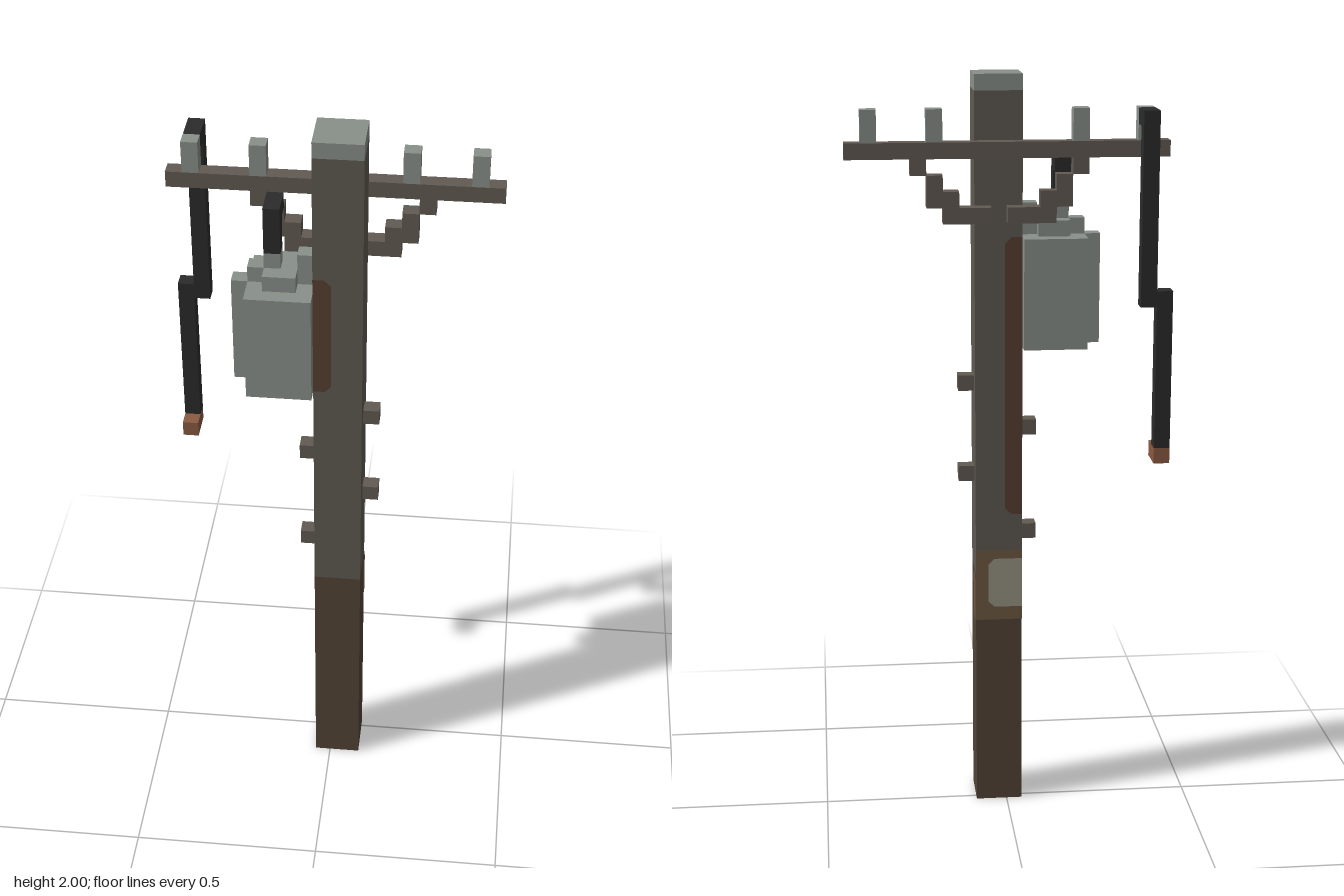
import * as THREE from 'three';

const U = 1 / 24; // edge of one building block

const paint = (name, color) => {
  const m = new THREE.MeshStandardMaterial({ color });
  m.name = name;
  return m;
};

export function createModel() {
  const root = new THREE.Group();
  root.name = 'utilityPole';

  const wood = paint('weatheredWood', 0x5f5a52);
  const damp = paint('dampWood', 0x524436);
  const timber = paint('timber', 0x625a52);
  const metal = paint('greyMetal', 0x89908a);
  const cable = paint('blackCable', 0x2b2b2b);
  const copper = paint('copper', 0x8b5a43);
  const rust = paint('rustStain', 0x573f31);
  const tan = paint('bareWood', 0x6f5a43);
  const pale = paint('paleNotice', 0x9a9585);

  // Box from block coordinates, given as [min, max] on each axis
  const box = (name, mat, [x0, x1], [y0, y1], [z0, z1], parent = root) => {
    const geo = new THREE.BoxGeometry((x1 - x0) * U, (y1 - y0) * U, (z1 - z0) * U);
    const mesh = new THREE.Mesh(geo, mat);
    mesh.name = name;
    mesh.position.set((x0 + x1) / 2 * U, (y0 + y1) / 2 * U, (z0 + z1) / 2 * U);
    parent.add(mesh);
    return mesh;
  };
  const group = (name) => {
    const g = new THREE.Group();
    g.name = name;
    root.add(g);
    return g;
  };

  // Thin stain on a vertical face; cutA and cutB bevel the corners at u0 and u1
  const turn = { front: 0, left: Math.PI / 2, back: Math.PI, right: -Math.PI / 2 };
  const stain = (name, mat, face, at, [u0, u1], [y0, y1], cutA, cutB, lift = 0.002) => {
    const a = cutA, b = cutB;
    const pts = [
      [u0 + a, y0], [u1 - b, y0], [u1, y0 + b], [u1, y1 - b],
      [u1 - b, y1], [u0 + a, y1], [u0, y1 - a], [u0, y0 + a],
    ].map(([u, y]) => new THREE.Vector2(u * U, y * U));
    const mesh = new THREE.Mesh(new THREE.ShapeGeometry(new THREE.Shape(pts)), mat);
    mesh.name = name;
    mesh.rotation.y = turn[face];
    const out = new THREE.Vector3(0, 0, at * U + lift).applyAxisAngle(new THREE.Vector3(0, 1, 0), turn[face]);
    mesh.position.copy(out);
    root.add(mesh);
  };

  // Pole
  const px = [-1, 2], pz = [-0.5, 2.5];
  box('poleBase', damp, px, [0, 16], pz);
  box('poleShaft', wood, px, [16, 47], pz);
  box('poleCap', metal, px, [47, 48], pz);

  // Crossarm and insulators
  const arm = [-1.5, -0.5];
  box('crossarm', timber, [-10, 10], [43, 44], arm);
  for (const x of [-9, -5, 4, 8]) box('insulator', metal, [x, x + 1], [44, 46], arm);

  // Stepped braces, mirrored about the pole's centre line
  const braces = group('braces');
  for (const [x0, x1, y] of [[1, 4, 39], [3, 5, 40], [4, 5, 41], [5, 6, 42]]) {
    box('braceStep', timber, [x0, x1], [y, y + 1], arm, braces);
    box('braceStep', timber, [1 - x1, 1 - x0], [y, y + 1], arm, braces);
  }

  // Climbing pegs
  for (const [x, y] of [[2, 28], [-2, 25], [2, 22], [-2, 18]]) {
    box('climbingPeg', timber, [x, x + 1], [y, y + 1], [0.5, 1.5]);
  }

  // Transformer with side fin, lid and terminals
  const t = group('transformer');
  const mid = [0.5, 1.5];
  box('tank', metal, [-5, -1], [31, 38], [-1.5, 3.5], t);
  box('sideFin', metal, [-6, -5], [31, 38], mid, t);
  box('lid', metal, [-4, -2], [38, 39], [-0.5, 2.5], t);
  box('lidEnd', metal, [-5, -4], [38, 39], mid, t);
  box('poleTerminal', metal, [-2, -1], [38, 40], mid, t);
  box('cableTerminal', metal, [-4, -3], [39, 40], mid, t);

  // Cable from the transformer to the crossarm
  box('feedCable', cable, [-4, -3], [40, 43], mid);
  box('feedCableTop', cable, [-4, -3], [42, 43], [-0.5, 0.5]);

  // Loose cable hanging behind the crossarm, with a bare end
  const hang = group('hangingCable');
  box('cableTop', cable, [-9, -8], [45, 46], [-2.5, -1.5], hang);
  box('cableUpper', cable, [-9, -8], [34, 46], [-3.5, -2.5], hang);
  box('cableLower', cable, [-10, -9], [25, 35], [-3.5, -2.5], hang);
  box('bareEnd', copper, [-10, -9], [24, 25], [-3.5, -1.5], hang);

  // Rust stains around the transformer
  stain('frontRust', rust, 'front', 2.5, [-1, 0.1], [31, 39], 0, 0.4);
  stain('backRust', rust, 'back', 0.5, [-0.1, 1], [20, 38], 0.4, 0);
  stain('sideRust', rust, 'right', 1, [-0.5, 0.6], [20, 38], 0, 0.4);
  stain('tankRust', copper, 'right', 5, [-0.5, 0.5], [33.5, 37.5], 0.3, 0);

  // Worn wood and pale notice low on the back
  stain('wornBack', tan, 'back', 0.5, [-2, 1], [12.8, 17.6], 0, 0);
  stain('wornLeft', tan, 'left', 2, [-0.75, 0.5], [12.7, 16], 0.4, 0);
  stain('wornRight', tan, 'right', 1, [-0.5, 0.8], [12.8, 17.6], 0, 0.4);
  stain('noticeBack', pale, 'back', 0.5, [-1.2, 1], [13.7, 17], 0.4, 0, 0.004);
  stain('noticeSide', pale, 'right', 1, [-0.5, 0.3], [13.7, 17], 0, 0.35, 0.004);

  return root;
}
